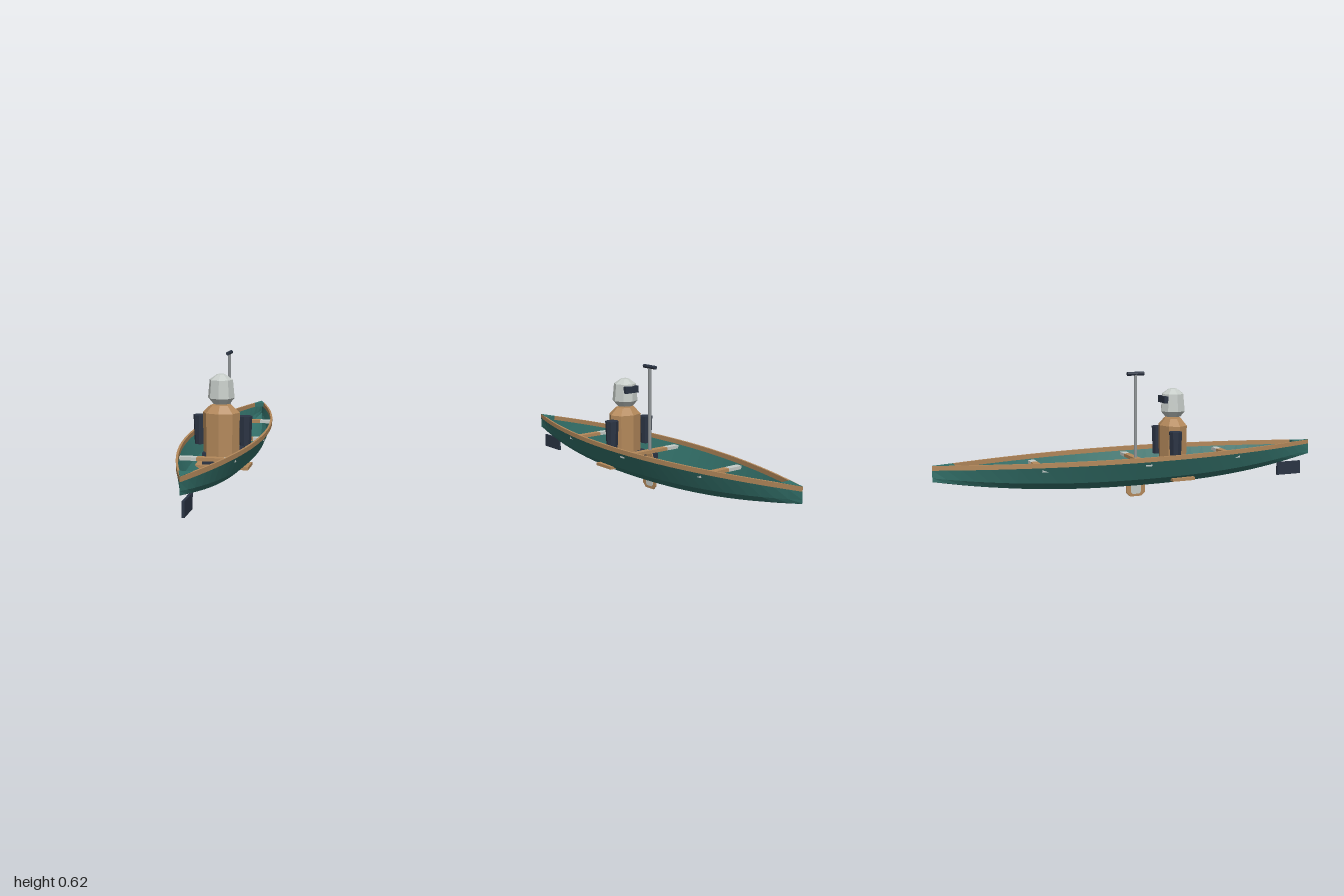
import * as THREE from 'three';

const mat = (name, color, extra = {}) => Object.assign(new THREE.MeshStandardMaterial({ color, flatShading: true, ...extra }), { name });

export function createModel() {
  const teal = mat('teal', 0x33716a, { side: THREE.DoubleSide });
  const wood = mat('wood', 0xb4895b);
  const navy = mat('navy', 0x2b3444);
  const pale = mat('paleGrey', 0xc6ccc8);
  const steel = mat('steel', 0x8f9496);

  const model = new THREE.Group();
  const add = (name, geometry, material, x = 0, y = 0, z = 0) => {
    const mesh = new THREE.Mesh(geometry, material);
    mesh.name = name;
    mesh.position.set(x, y, z);
    model.add(mesh);
    return mesh;
  };
  // Box given by its limits on each axis
  const box = (name, material, [x0, x1], [y0, y1], [z0, z1]) =>
    add(name, new THREE.BoxGeometry(x1 - x0, y1 - y0, z1 - z0), material, (x0 + x1) / 2, (y0 + y1) / 2, (z0 + z1) / 2);
  const lathe = (points) => new THREE.LatheGeometry(points.map(([r, y]) => new THREE.Vector2(r, y)), 8);

  // Hull: one chined section scaled along the length to a point at each end
  const half = [[1, 1], [0.77, 0.33], [0.53, 0.06], [0.27, 0.015], [0, 0]];
  const section = [...half, ...half.slice(0, -1).reverse().map(([u, v]) => [-u, v])];
  const rows = 32, cols = section.length, rim = 0.204;
  const positions = [], index = [];
  for (let i = 0; i <= rows; i++) {
    const z = -1 + (2 * i) / rows;
    const width = 0.18 * (1 - z * z);
    const keel = 0.068 + 0.082 * Math.abs(z) ** 2.4;
    for (const [u, v] of section) positions.push(u * width, keel + v * (rim - keel), z);
    if (i === rows) break;
    for (let j = 0; j < cols - 1; j++) {
      const a = i * cols + j, b = a + cols;
      index.push(a, b, a + 1, b, b + 1, a + 1);
    }
  }
  const hull = new THREE.BufferGeometry();
  hull.setAttribute('position', new THREE.Float32BufferAttribute(positions, 3));
  hull.setIndex(index);
  hull.computeVertexNormals();
  add('hull', hull, teal);

  // Gunwale: pointed oval ring laid flat on the rim
  const oval = (width, length) => {
    const pts = [];
    for (const side of [1, -1])
      for (let i = 0; i < 32; i++) {
        const t = side * (-1 + i / 16);
        pts.push(new THREE.Vector2(side * width * (1 - t * t), t * length));
      }
    return pts;
  };
  const ring = new THREE.Shape(oval(0.183, 1));
  ring.holes.push(new THREE.Path(oval(0.172, 0.975)));
  const flat = (shape, depth) => new THREE.ExtrudeGeometry(shape, { depth, bevelEnabled: false }).rotateX(-Math.PI / 2);
  add('gunwale', flat(ring, 0.022), wood, 0, 0.203, 0);

  // Small triangular decks at both tips
  for (const s of [1, -1]) {
    const tri = new THREE.Shape([[-0.03, 0.9], [0.03, 0.9], [0, 0.998]].map(([x, y]) => new THREE.Vector2(x, y)));
    const deck = add(s > 0 ? 'frontDeck' : 'rearDeck', flat(tri, 0.021), teal, 0, 0.205, 0);
    if (s > 0) deck.rotation.y = Math.PI;
  }

  // Thwarts with pale end sleeves
  for (const [z, reach, left, right] of [[-0.5, 0.128, -0.048, 0.074], [0, 0.173, -0.1, 0.12], [0.5, 0.128, -0.048, 0.074]]) {
    const y = [0.181, 0.197], depth = [z - 0.016, z + 0.016];
    box('thwart', wood, [left, right], y, depth);
    box('thwartSleeve', pale, [-reach, left], y, depth);
    box('thwartSleeve', pale, [right, reach], y, depth);
  }

  // Seat board running through the hull sides
  box('seat', wood, [-0.139, 0.139], [0.088, 0.103], [0.14, 0.26]);

  // Seated figure facing -z
  const torso = add('torso', lathe([[0, 0.13], [0.086, 0.13], [0.089, 0.35], [0.052, 0.385], [0, 0.385]]), wood, 0, 0, 0.2);
  torso.scale.z = 0.78;
  add('head', lathe([[0, 0.392], [0.04, 0.392], [0.064, 0.42], [0.056, 0.506], [0.02, 0.531], [0, 0.531]]), pale, 0, 0, 0.2);
  box('visor', navy, [-0.04, 0.04], [0.463, 0.497], [0.138, 0.16]);
  for (const s of [1, -1]) {
    add('arm', new THREE.CylinderGeometry(0.034, 0.028, 0.14, 8), navy, s * 0.109, 0.26, 0.167);
    box('leg', navy, [s * 0.0525 - 0.0325, s * 0.0525 + 0.0325], [0.103, 0.16], [0.04, 0.24]);
  }

  // Paddle standing upright through the middle of the boat
  add('paddleShaft', new THREE.CylinderGeometry(0.008, 0.008, 0.43, 8), steel, 0, 0.395, 0);
  add('paddleGrip', new THREE.CylinderGeometry(0.0095, 0.0095, 0.088, 8).rotateX(Math.PI / 2), navy, 0, 0.612, 0);
  const plate = (name, outline, thick, material) => {
    const pts = [...outline, ...outline.map(([z, y]) => [-z, y]).reverse()].map(([z, y]) => new THREE.Vector2(z, y));
    const g = new THREE.ExtrudeGeometry(new THREE.Shape(pts), { depth: thick, bevelEnabled: false });
    add(name, g.translate(0, 0, -thick / 2).rotateY(Math.PI / 2), material);
  };
  plate('paddleBlade', [[0.03, 0], [0.05, 0.02], [0.05, 0.1], [0.012, 0.195]], 0.006, wood);
  plate('bladePanel', [[0.018, 0.012], [0.027, 0.022], [0.027, 0.1], [0.01, 0.15]], 0.008, pale);

  // Rudder under the +z end
  box('rudder', navy, [-0.006, 0.006], [0.046, 0.114], [0.81, 0.95]);
  add('rudderPost', new THREE.CylinderGeometry(0.01, 0.01, 0.03, 8), navy, 0, 0.115, 0.82);

  return model;
}
